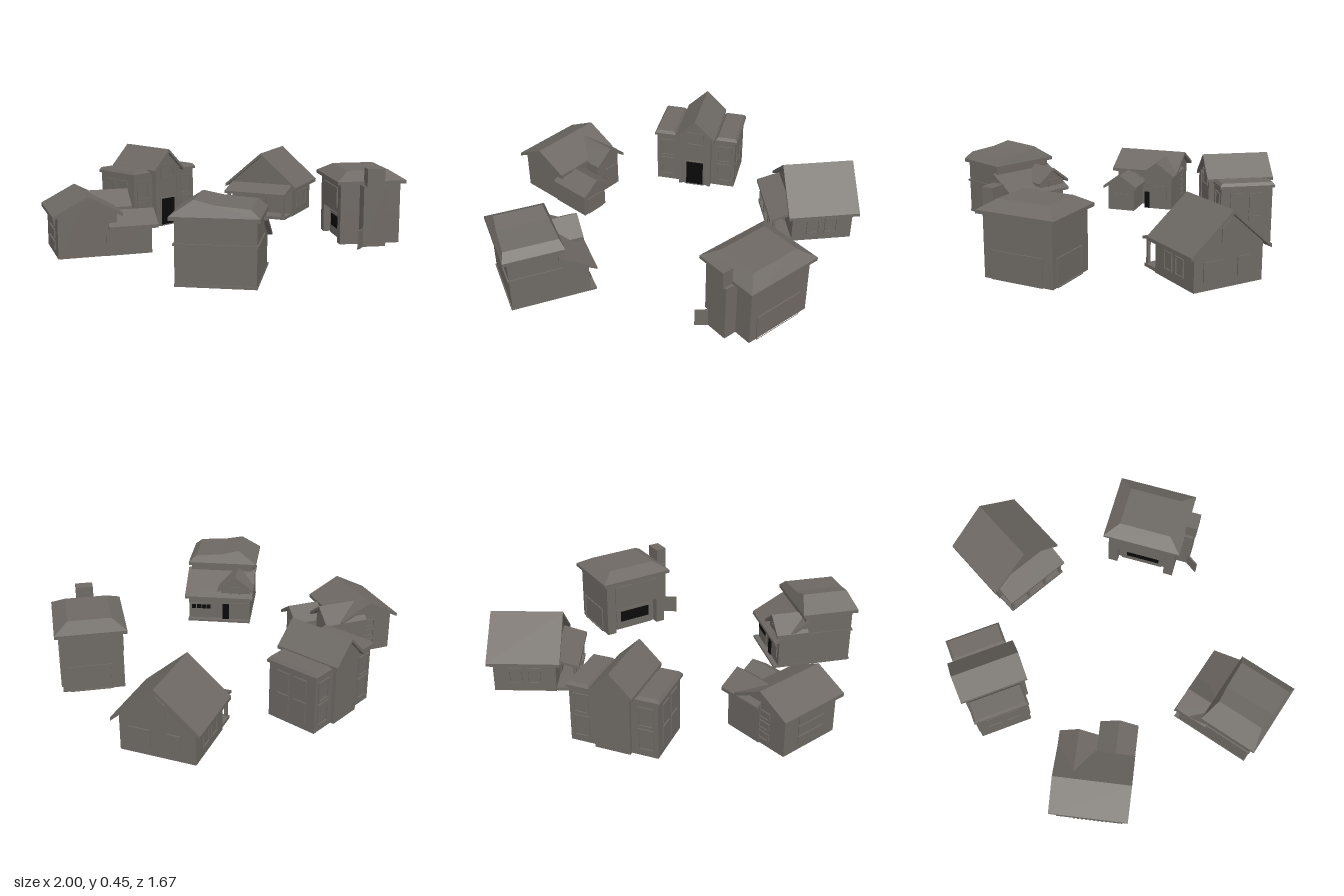
import * as THREE from 'three';

const mat = (name, color) => Object.assign(new THREE.MeshStandardMaterial({ color }), { name });

export function createModel() {
  const stone = mat('warm grey', 0x6e6964);
  const black = mat('black', 0x0a0a0a);
  const village = new THREE.Group();
  village.name = 'village';

  // ---- helpers ----
  const house = (name, x, z, deg) => {
    const g = new THREE.Group();
    g.name = name;
    g.position.set(x, 0, z);
    g.rotation.y = THREE.MathUtils.degToRad(deg);
    village.add(g);
    return g;
  };
  const add = (g, name, geo, m = stone) => {
    const mesh = new THREE.Mesh(geo, m);
    mesh.name = name;
    g.add(mesh);
    return mesh;
  };
  const box = (g, name, [x0, x1], [y0, y1], [z0, z1], m) =>
    add(g, name, new THREE.BoxGeometry(x1 - x0, y1 - y0, z1 - z0)
      .translate((x0 + x1) / 2, (y0 + y1) / 2, (z0 + z1) / 2), m);
  // Box whose top is drawn inward to make a cut-off hip
  const hip = (g, name, [x0, x1], [y0, y1], [z0, z1], inX, inZ) => {
    const geo = new THREE.BoxGeometry(x1 - x0, y1 - y0, z1 - z0);
    const p = geo.attributes.position;
    for (let i = 0; i < p.count; i++) if (p.getY(i) > 0) {
      p.setX(i, p.getX(i) - Math.sign(p.getX(i)) * inX);
      p.setZ(i, p.getZ(i) - Math.sign(p.getZ(i)) * inZ);
    }
    geo.computeVertexNormals();
    return add(g, name, geo.translate((x0 + x1) / 2, (y0 + y1) / 2, (z0 + z1) / 2));
  };
  // Profile of [across, y] points swept along x or z
  const sweep = (axis, pts, from, to, holes = []) => {
    const s = axis === 'x' ? -1 : 1;
    const vec = (list) => list.map(([a, y]) => new THREE.Vector2(s * a, y));
    const shape = new THREE.Shape(vec(pts));
    holes.forEach((h) => shape.holes.push(new THREE.Path(vec(h))));
    const geo = new THREE.ExtrudeGeometry(shape, { depth: to - from, bevelEnabled: false }).translate(0, 0, from);
    return axis === 'x' ? geo.rotateY(Math.PI / 2) : geo;
  };
  const gableWalls = (g, name, axis, mid, half, y0, eave, ridge, from, to) =>
    add(g, name, sweep(axis, [[mid - half, y0], [mid + half, y0], [mid + half, eave], [mid, ridge], [mid - half, eave]], from, to));
  const gableRoof = (g, name, axis, mid, half, eave, ridge, from, to, t = 0.018) =>
    add(g, name, sweep(axis, [[mid - half, eave], [mid, ridge], [mid + half, eave],
      [mid + half, eave - t], [mid, ridge - t], [mid - half, eave - t]], from, to));
  // Thin frame on a wall at position "at" of the axis, facing sign s
  const frame = (g, name, axis, s, at, c, w, y0, y1, b = 0.007) => {
    const rect = (d) => [[c - w + d, y0 + d], [c + w - d, y0 + d], [c + w - d, y1 - d], [c - w + d, y1 - d]];
    add(g, name, sweep(axis, rect(0), s > 0 ? at : at - 0.007, s > 0 ? at + 0.007 : at, [rect(b)]));
  };

  // ---- hall with a steep centre gable and two wings ----
  const hall = house('hall', 0, -0.655, 0);
  gableWalls(hall, 'hallCentre', 'z', 0, 0.095, 0, 0.345, 0.435, -0.165, 0.165);
  gableRoof(hall, 'hallRoof', 'z', 0, 0.117, 0.335, 0.45, -0.185, 0.185);
  box(hall, 'hallDoor', [-0.05, 0.05], [0, 0.16], [0.165, 0.171], black);
  frame(hall, 'doorSurround', 'z', 1, 0.165, 0, 0.058, 0, 0.168);
  frame(hall, 'gableWindow', 'z', 1, 0.165, 0, 0.052, 0.28, 0.365);
  for (const s of [-1, 1]) {
    const span = (a, b) => [Math.min(s * a, s * b), Math.max(s * a, s * b)];
    box(hall, 'wing', span(0.09, 0.235), [0, 0.315], [-0.145, 0.14]);
    box(hall, 'wingCornice', span(0.09, 0.247), [0.308, 0.322], [-0.155, 0.148]);
    hip(hall, 'wingRoof', span(0.12, 0.247), [0.322, 0.338], [-0.155, 0.148], 0.012, 0.012);
    box(hall, 'pilaster', span(0.075, 0.095), [0, 0.34], [0.165, 0.172]);
    for (const [y0, y1] of [[0.035, 0.155], [0.17, 0.28]]) {
      frame(hall, 'wingWindow', 'z', 1, 0.14, s * 0.172, 0.042, y0, y1);
      frame(hall, 'backWindow', 'z', -1, -0.145, s * 0.172, 0.042, y0, y1);
      for (const z of [-0.053, 0.052]) frame(hall, 'sideWindow', 'x', s, s * 0.235, z, 0.037, y0, y1);
    }
  }

  // ---- cottage with a porch ----
  const cottage = house('cottage', 0.735, -0.315, 20);
  gableWalls(cottage, 'cottageWalls', 'x', 0, 0.197, 0.008, 0.205, 0.375, -0.168, 0.168);
  gableRoof(cottage, 'cottageRoof', 'x', 0, 0.23, 0.192, 0.39, -0.197, 0.197);
  box(cottage, 'porchFloor', [-0.28, -0.16], [0.008, 0.025], [-0.19, 0.19]);
  add(cottage, 'porchRoof', sweep('z', [[-0.295, 0.163], [-0.16, 0.205], [-0.16, 0.19], [-0.295, 0.148]], -0.196, 0.196));
  for (const z of [-0.175, -0.06, 0.06, 0.175])
    box(cottage, 'porchPost', [-0.277, -0.261], [0.02, 0.16], [z - 0.008, z + 0.008]);
  box(cottage, 'cottageDoor', [-0.174, -0.168], [0.02, 0.15], [-0.035, 0.035]);
  for (const s of [-1, 1]) {
    frame(cottage, 'sideWindow', 'z', s, s * 0.197, -0.05, 0.036, 0.055, 0.15);
    frame(cottage, 'sideWindow', 'z', s, s * 0.197, 0.05, 0.036, 0.055, 0.15);
  }
  frame(cottage, 'wideWindow', 'x', 1, 0.168, 0.09, 0.055, 0.055, 0.15);
  frame(cottage, 'gableEndWindow', 'x', 1, 0.168, -0.085, 0.036, 0.055, 0.15);
  const attic = (d) => [[-0.045 + d, 0.235 + d], [0.045 - d, 0.235 + d], [0.045 - d, 0.3], [0, 0.338 - d], [-0.045 + d, 0.3]];
  add(cottage, 'atticWindow', sweep('x', attic(0), 0.168, 0.175, [attic(0.008)]));

  // ---- house with two front gables ----
  const twin = house('twinGableHouse', -0.72, -0.3, -28.1);
  gableWalls(twin, 'mainWalls', 'z', -0.045, 0.15, 0.008, 0.235, 0.305, -0.205, 0.155);
  gableRoof(twin, 'mainRoof', 'z', -0.045, 0.177, 0.23, 0.322, -0.233, 0.182);
  gableWalls(twin, 'tallWing', 'x', -0.127, 0.085, 0.008, 0.22, 0.285, -0.03, 0.19);
  gableRoof(twin, 'tallWingRoof', 'x', -0.127, 0.106, 0.222, 0.3, -0.03, 0.223);
  gableWalls(twin, 'lowWing', 'x', 0.078, 0.082, 0.008, 0.16, 0.215, 0.05, 0.285);
  gableRoof(twin, 'lowWingRoof', 'x', 0.078, 0.104, 0.16, 0.228, 0.06, 0.315);
  box(twin, 'garageDoor', [0.285, 0.291], [0.01, 0.11], [0.02, 0.136]);
  box(twin, 'frontDoor', [0.19, 0.196], [0.01, 0.11], [-0.075, -0.045], black);
  frame(twin, 'tallWingWindow', 'x', 1, 0.19, -0.145, 0.04, 0.06, 0.15);
  for (const y of [0.04, 0.1, 0.16]) {
    frame(twin, 'backWindow', 'x', -1, -0.195, -0.02, 0.09, y, y + 0.045);
    frame(twin, 'sideWindow', 'z', -1, -0.205, -0.03, 0.065, y, y + 0.045);
  }

  // ---- house with a tall rear block and a low front ----
  const tall = house('steppedHouse', -0.6, 0.53, 34.7);
  box(tall, 'groundSlab', [-0.215, 0.24], [0, 0.012], [-0.19, 0.19]);
  box(tall, 'tallBlock', [-0.21, 0.065], [0.008, 0.32], [-0.188, 0.188]);
  box(tall, 'beltCourse', [-0.218, 0.07], [0.19, 0.2], [-0.195, 0.195]);
  box(tall, 'tallEaves', [-0.235, 0.088], [0.308, 0.326], [-0.21, 0.205]);
  // Upper roof: the ends lean inward with height
  const top = sweep('x', [[-0.21, 0.326], [0.205, 0.326], [0.16, 0.365], [0, 0.378], [-0.1, 0.4]], -0.235, 0.088);
  const tp = top.attributes.position;
  for (let i = 0; i < tp.count; i++) {
    const mid = -0.0735;
    tp.setX(i, tp.getX(i) - Math.sign(tp.getX(i) - mid) * (tp.getY(i) - 0.326) * 0.45);
  }
  top.computeVertexNormals();
  add(tall, 'tallRoof', top);
  add(tall, 'lowFrontWalls', sweep('z', [[0.05, 0.008], [0.205, 0.008], [0.205, 0.17], [0.05, 0.25]], -0.188, 0.188));
  add(tall, 'lowFrontRoof', sweep('z', [[0.05, 0.28], [0.245, 0.165], [0.245, 0.15], [0.05, 0.262]], -0.205, 0.208));
  gableWalls(tall, 'frontGable', 'x', -0.1, 0.088, 0.012, 0.215, 0.28, 0.05, 0.213);
  gableRoof(tall, 'frontGableRoof', 'x', -0.1, 0.108, 0.215, 0.295, 0.05, 0.235);
  box(tall, 'garageDoor', [0.205, 0.211], [0.012, 0.11], [0.05, 0.175]);
  for (let i = 0; i < 4; i++)
    box(tall, 'garageWindow', [0.211, 0.215], [0.075, 0.1], [0.054 + i * 0.03, 0.079 + i * 0.03], black);
  box(tall, 'frontDoor', [0.213, 0.219], [0.012, 0.11], [-0.06, -0.02], black);
  frame(tall, 'frontWindow', 'x', 1, 0.213, -0.125, 0.038, 0.05, 0.12);
  frame(tall, 'gableWindow', 'x', 1, 0.213, -0.1, 0.03, 0.16, 0.225);

  // ---- house with an overhanging upper floor and a chimney ----
  const manor = house('chimneyHouse', 0.537, 0.5, -37.4);
  box(manor, 'lowerFloor', [-0.125, 0.165], [0, 0.17], [-0.195, 0.195]);
  box(manor, 'upperFloor', [-0.165, 0.165], [0.16, 0.335], [-0.195, 0.195]);
  for (const z of [-0.18, 0.155]) box(manor, 'garageSideWall', [-0.165, -0.12], [0, 0.165], [z - 0.015, z + 0.04]);
  box(manor, 'roofEaves', [-0.19, 0.19], [0.327, 0.345], [-0.22, 0.22]);
  hip(manor, 'hippedRoof', [-0.19, 0.19], [0.345, 0.392], [-0.22, 0.22], 0.075, 0.075);
  box(manor, 'chimney', [-0.06, 0.065], [0, 0.325], [0.19, 0.268]);
  box(manor, 'chimneyStack', [-0.045, 0.05], [0.32, 0.42], [0.215, 0.278]);
  const gate = box(manor, 'gate', [-0.038, 0.038], [0, 0.1], [-0.004, 0.004]);
  gate.position.set(-0.08, 0, 0.29);
  gate.rotation.y = THREE.MathUtils.degToRad(54);
  box(manor, 'garageDoor', [-0.131, -0.125], [0, 0.13], [-0.12, 0.12]);
  box(manor, 'garageWindows', [-0.136, -0.131], [0.05, 0.115], [-0.09, 0.1], black);
  frame(manor, 'upperWindow', 'x', -1, -0.165, 0, 0.14, 0.19, 0.3);
  frame(manor, 'rearPanel', 'x', 1, 0.165, 0.005, 0.145, 0, 0.148, 0.005);
  frame(manor, 'sidePanel', 'z', -1, -0.195, 0.015, 0.115, 0, 0.148, 0.005);

  return village;
}
